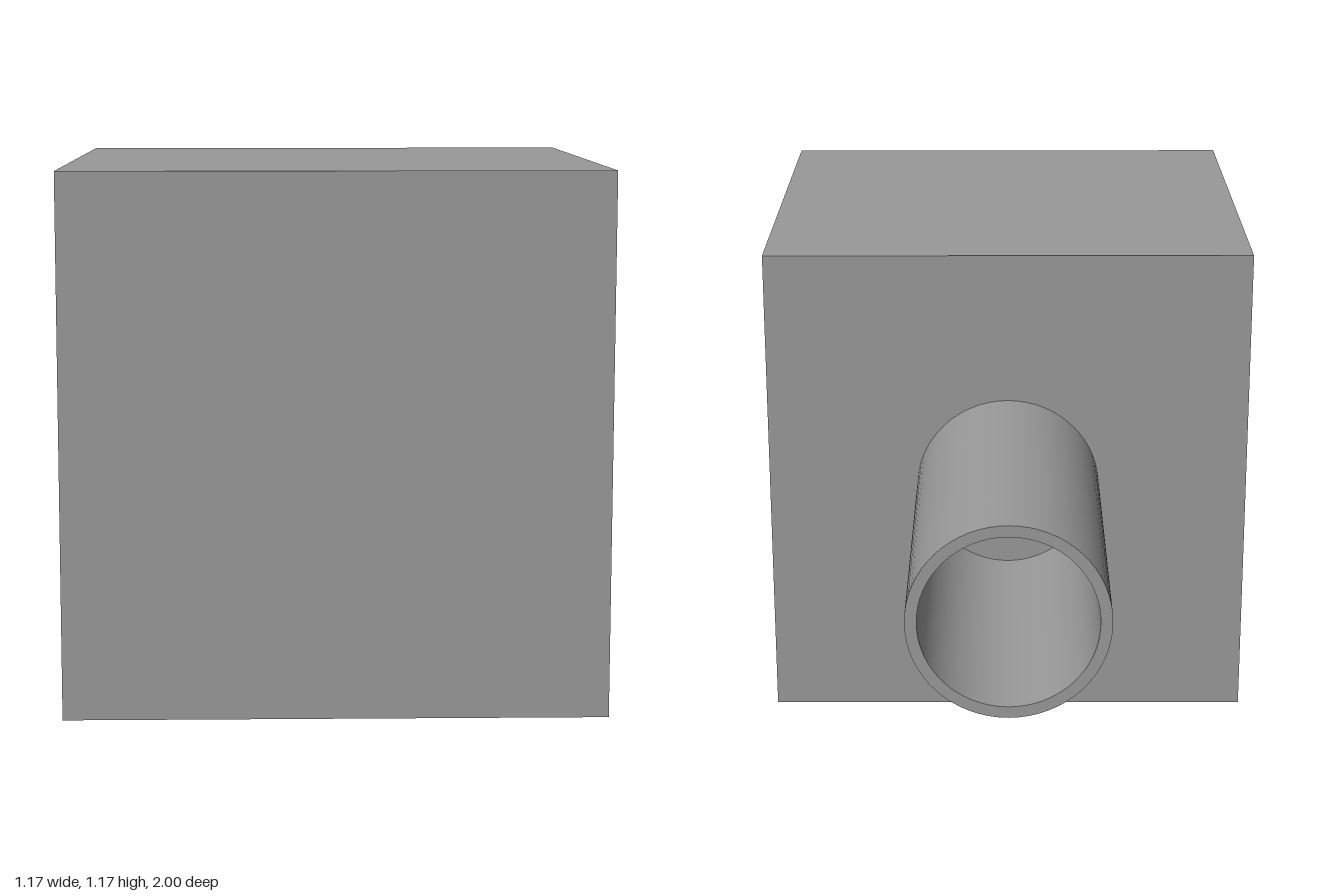
import * as THREE from 'three';

const SIZE = 1.167;      // cube edge
const BACK = 1 - SIZE;   // z of the cube's back face
const LENGTH = 1 + BACK; // pipe length behind the cube
const OUTER = 0.222;
const INNER = 0.196;

export function createModel() {
  const model = new THREE.Group();
  const grey = new THREE.MeshStandardMaterial({ color: 0x999999 });
  grey.name = 'grey';

  // Solid cube body
  const body = new THREE.Mesh(new THREE.BoxGeometry(SIZE, SIZE, SIZE), grey);
  body.name = 'body';
  body.position.set(0, SIZE / 2, BACK + SIZE / 2);
  model.add(body);

  // Hollow pipe leaving the back face; separate surfaces keep its edges sharp
  const pipe = new THREE.Group();
  pipe.name = 'pipe';
  pipe.position.set(0, SIZE / 2, BACK);
  pipe.rotation.x = -Math.PI / 2;
  const addSurface = (name, from, to) => {
    const profile = [new THREE.Vector2(...from), new THREE.Vector2(...to)];
    const mesh = new THREE.Mesh(new THREE.LatheGeometry(profile, 64), grey);
    mesh.name = name;
    pipe.add(mesh);
  };
  addSurface('outerWall', [OUTER, 0], [OUTER, LENGTH]);
  addSurface('rim', [OUTER, LENGTH], [INNER, LENGTH]);
  addSurface('innerWall', [INNER, LENGTH], [INNER, 0]);
  model.add(pipe);

  return model;
}
